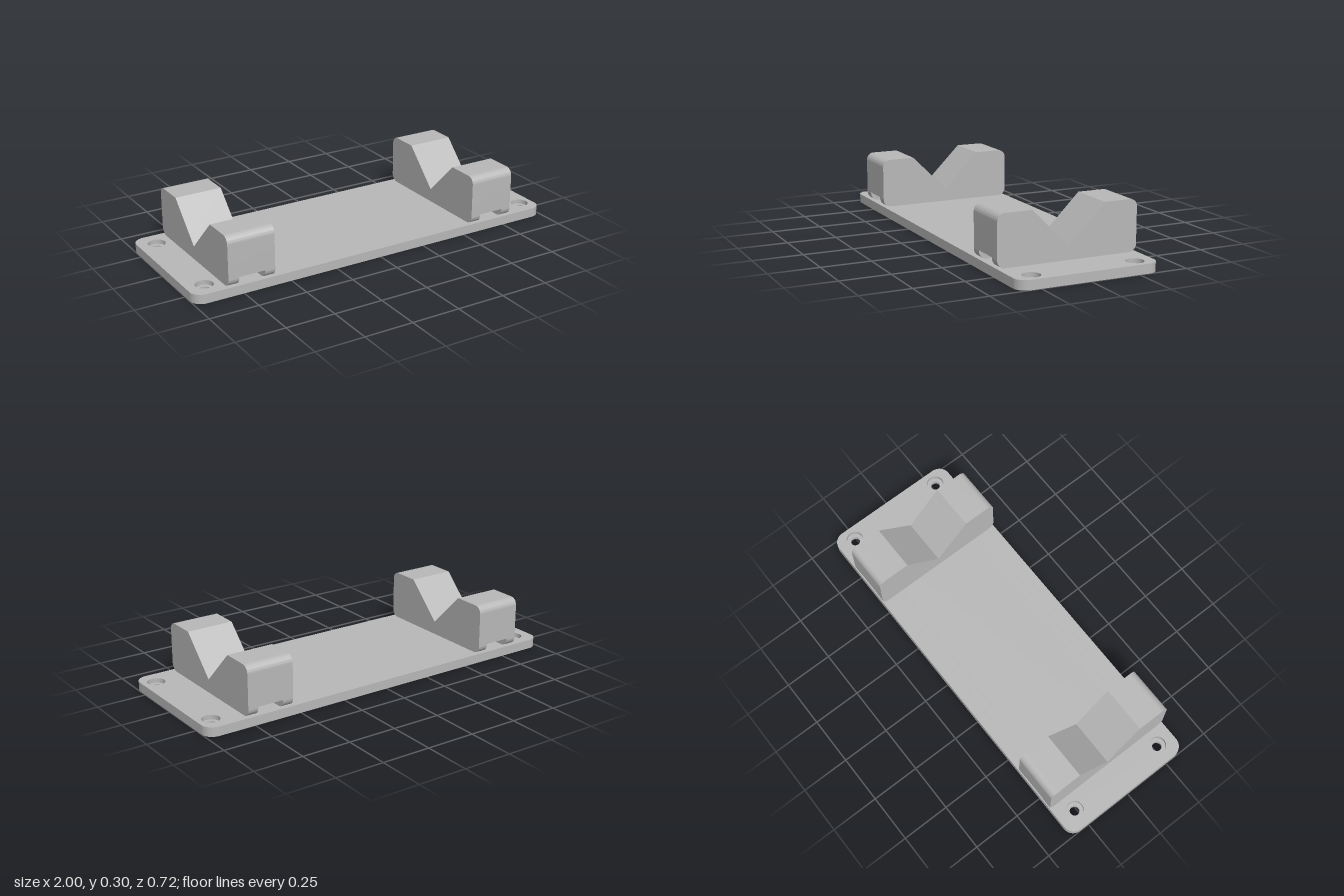
import * as THREE from 'three';
import { toCreasedNormals } from 'three/addons/utils/BufferGeometryUtils.js';

const HALF_DEPTH = 0.36, PLATE_TOP = 0.047, SLOT_TOP = 0.09, BLOCK_TOP = 0.3;
const BLOCK_RADIUS = 0.038, BLOCK_WIDTH = 0.243;

function extrude(shape, depth) {
  return new THREE.ExtrudeGeometry(shape, { depth, bevelEnabled: false, curveSegments: 16 });
}

// Rounded rectangle with four round screw holes
function plateShape(holeRadius) {
  const x = 1, z = HALF_DEPTH, r = 0.06, s = new THREE.Shape();
  s.absarc(x - r, z - r, r, 0, Math.PI / 2);
  s.absarc(-x + r, z - r, r, Math.PI / 2, Math.PI);
  s.absarc(-x + r, -z + r, r, Math.PI, Math.PI * 1.5);
  s.absarc(x - r, -z + r, r, Math.PI * 1.5, Math.PI * 2);
  s.closePath();
  for (const hx of [-0.908, 0.93]) for (const hz of [-0.265, 0.265]) {
    s.holes.push(new THREE.Path().absarc(hx, hz, holeRadius, 0, Math.PI * 2, true));
  }
  return s;
}

// Side profile of a cradle above the slot, with the V notch
function cradleShape() {
  const d = HALF_DEPTH, r = BLOCK_RADIUS, s = new THREE.Shape();
  s.moveTo(-d, SLOT_TOP);
  s.lineTo(d, SLOT_TOP);
  s.absarc(d - r, BLOCK_TOP - r, r, 0, Math.PI / 2);
  s.lineTo(0.186, BLOCK_TOP);
  s.lineTo(0, 0.115);
  s.lineTo(-0.186, BLOCK_TOP);
  s.absarc(-d + r, BLOCK_TOP - r, r, Math.PI / 2, Math.PI);
  s.closePath();
  return s;
}

// Side profile of a foot beside the slot, rounded at its lower ends
function footShape() {
  const d = HALF_DEPTH, r = BLOCK_RADIUS, s = new THREE.Shape();
  s.moveTo(d, SLOT_TOP);
  s.lineTo(-d, SLOT_TOP);
  s.absarc(-d + r, PLATE_TOP + r, r, Math.PI, Math.PI * 1.5);
  s.absarc(d - r, PLATE_TOP + r, r, Math.PI * 1.5, Math.PI * 2);
  s.closePath();
  return s;
}

export function createModel() {
  const model = new THREE.Group();
  model.name = 'cradleMount';
  const grey = new THREE.MeshStandardMaterial({ color: 0xb8b8b8 });
  grey.name = 'plainGrey';

  function add(parent, name, geometry) {
    const mesh = new THREE.Mesh(toCreasedNormals(geometry, 0.5), grey);
    mesh.name = name;
    parent.add(mesh);
    return mesh;
  }

  // Base plate: narrow holes below, wider counterbores above
  const plate = new THREE.Group();
  plate.name = 'basePlate';
  model.add(plate);
  const boreFloor = 0.024;
  add(plate, 'plateLower', extrude(plateShape(0.024), boreFloor).rotateX(-Math.PI / 2));
  add(plate, 'plateUpper', extrude(plateShape(0.044), PLATE_TOP - boreFloor).rotateX(-Math.PI / 2))
    .position.y = boreFloor;

  // Two notched cradles, each with a strap slot running front to back
  const slotStart = 0.055, slotEnd = 0.19;
  for (const [name, x] of [['rightCradle', -0.83], ['leftCradle', 0.544]]) {
    const cradle = new THREE.Group();
    cradle.name = name;
    cradle.position.x = x;
    model.add(cradle);
    add(cradle, 'cradleBody', extrude(cradleShape(), BLOCK_WIDTH).rotateY(Math.PI / 2));
    for (const [from, to] of [[0, slotStart], [slotEnd, BLOCK_WIDTH]]) {
      add(cradle, 'cradleFoot', extrude(footShape(), to - from).rotateY(Math.PI / 2)).position.x = from;
    }
  }
  return model;
}
